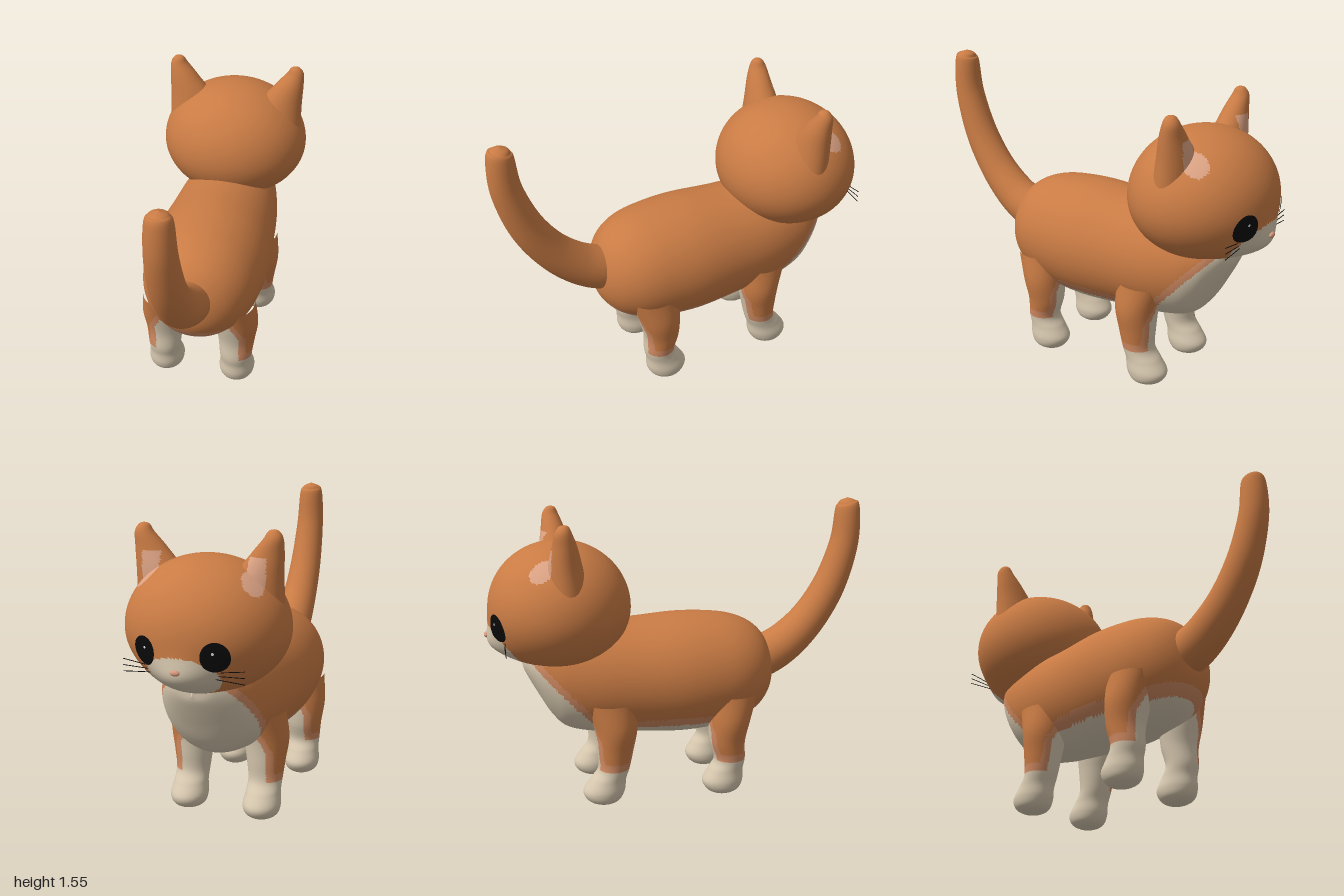
import * as THREE from 'three';
import { mergeVertices } from 'three/addons/utils/BufferGeometryUtils.js';

const mat = (name, color) => {
  const m = new THREE.MeshStandardMaterial({ color });
  m.name = name;
  return m;
};
const orange = mat('orange fur', 0xc97b44);
const cream = mat('cream fur', 0xd6c7ae);
const blend = mat('peach fur edge', 0xd08a62);
const pale = mat('pale inner ear', 0xdba283);
const black = mat('black', 0x0a0a0a);
const white = mat('white', 0xf4f4f4);
const pink = mat('pink nose', 0xd99a80);
const FUR = [orange, cream, blend, pale];
const ORANGE = 0, CREAM = 1, BLEND = 2, PALE = 3;

const X = new THREE.Vector3(1, 0, 0);

// Smooth skin over elliptical rings; each row is [x, y, z, halfWidth, halfDepth].
// The rings lie along X and V (V is found from the path when not given).
function loft(rows, V, steps = 80, sides = 64) {
  const curve = (f) => new THREE.CatmullRomCurve3(rows.map(f), false, 'catmullrom', 0.5);
  const path = curve((r) => new THREE.Vector3(r[0], r[1], r[2]));
  const size = curve((r) => new THREE.Vector3(r[3], r[4], 0));
  const pos = [], index = [];
  for (let i = 0; i <= steps; i++) {
    const t = i / steps;
    const c = path.getPoint(t), s = size.getPoint(t);
    const v = V || path.getTangent(t).cross(X).normalize();
    for (let j = 0; j < sides; j++) {
      const a = (j / sides) * Math.PI * 2;
      const p = c.clone()
        .addScaledVector(X, Math.max(s.x, 0.0005) * Math.cos(a))
        .addScaledVector(v, Math.max(s.y, 0.0005) * Math.sin(a));
      pos.push(p.x, p.y, p.z);
      if (i < steps) {
        const k = (j + 1) % sides, A = i * sides, B = A + sides;
        index.push(A + j, A + k, B + j, A + k, B + k, B + j);
      }
    }
  }
  const g = new THREE.BufferGeometry();
  g.setAttribute('position', new THREE.Float32BufferAttribute(pos, 3));
  g.setIndex(index);
  g.computeVertexNormals();
  return g;
}

// Sorts triangles into fur colours by the position of their centre.
function paint(g, rule) {
  const buckets = FUR.map(() => []);
  const idx = g.index.array, p = g.attributes.position;
  for (let i = 0; i < idx.length; i += 3) {
    const t = [idx[i], idx[i + 1], idx[i + 2]];
    const mean = (get) => t.reduce((s, k) => s + p[get](k), 0) / 3;
    buckets[rule(Math.abs(mean('getX')), mean('getY'), mean('getZ'))].push(...t);
  }
  g.setIndex(buckets.flat());
  let start = 0;
  buckets.forEach((b, m) => {
    if (b.length) g.addGroup(start, b.length, m);
    start += b.length;
  });
  return g;
}

// Head: an ellipsoid with a muzzle bulge at its front (-z).
const HEAD = { y: 1.035, z: -0.62, rx: 0.4, up: 0.34, down: 0.31, rz: 0.365 };
const bulge = (x, y, c) =>
  0.07 * Math.exp(-((x / 0.16) ** 2) - ((y - 0.84) / 0.1) ** 2) * Math.min(1, c * 2);
function faceZ(x, y) {
  const dy = y - HEAD.y, ry = dy > 0 ? HEAD.up : HEAD.down;
  const c = Math.sqrt(Math.max(0, 1 - (x / HEAD.rx) ** 2 - (dy / ry) ** 2));
  return HEAD.z - HEAD.rz * c - bulge(x, y, c);
}
function headGeometry() {
  let g = new THREE.SphereGeometry(1, 128, 96);
  g.deleteAttribute('uv');
  g.deleteAttribute('normal');
  g = mergeVertices(g);
  const p = g.attributes.position;
  for (let i = 0; i < p.count; i++) {
    const sy = p.getY(i), sz = p.getZ(i);
    const x = p.getX(i) * HEAD.rx;
    const y = HEAD.y + sy * (sy > 0 ? HEAD.up : HEAD.down);
    const z = HEAD.z + sz * HEAD.rz - (sz < 0 ? bulge(x, y, -sz) : 0);
    p.setXYZ(i, x, y, z);
  }
  g.computeVertexNormals();
  return g;
}

// Thin oval that hugs the face.
function faceOval(cx, cy, rx, ry, lift) {
  const g = new THREE.RingGeometry(0, 1, 32, 6);
  const p = g.attributes.position;
  for (let i = 0; i < p.count; i++) {
    const x = cx - rx * p.getX(i), y = cy + ry * p.getY(i);
    p.setXYZ(i, x, y, faceZ(x, y) - lift);
  }
  g.computeVertexNormals();
  return g;
}

export function createModel() {
  const cat = new THREE.Group();
  cat.name = 'cat';
  const add = (name, geometry, material) => {
    const m = new THREE.Mesh(geometry, material);
    m.name = name;
    cat.add(m);
    return m;
  };

  // Torso from chest to rump: z, top, bottom, half width
  const torso = [
    [-0.825, 0.8, 0.74, 0], [-0.81, 0.84, 0.695, 0.1], [-0.75, 0.9, 0.58, 0.18],
    [-0.68, 0.93, 0.46, 0.225], [-0.6, 0.95, 0.385, 0.255], [-0.45, 0.95, 0.35, 0.285],
    [-0.25, 0.95, 0.335, 0.305], [0, 0.965, 0.32, 0.325], [0.2, 0.955, 0.335, 0.312],
    [0.32, 0.93, 0.365, 0.285], [0.41, 0.885, 0.41, 0.235], [0.47, 0.82, 0.47, 0.17],
    [0.505, 0.73, 0.54, 0.09], [0.515, 0.63, 0.63, 0],
  ].map(([z, t, b, w]) => [0, (t + b) / 2, z, w, (t - b) / 2]);
  add('torso', paint(loft(torso, new THREE.Vector3(0, 1, 0), 130, 96), (x, y, z) => {
    const edge = 0.41 + Math.max(0, -0.45 - z) * 1.1 + Math.max(0, z - 0.3) * 0.25;
    return y < edge ? CREAM : y < edge + 0.05 ? BLEND : ORANGE;
  }), FUR);

  // Legs: y, half width, half depth, then z of the front and back leg
  const legRows = [
    [0.56, 0.1, 0.13, -0.39, 0.26], [0.42, 0.115, 0.112, -0.37, 0.24],
    [0.3, 0.1, 0.095, -0.375, 0.23], [0.2, 0.088, 0.083, -0.385, 0.243],
    [0.14, 0.088, 0.094, -0.415, 0.222], [0.08, 0.096, 0.11, -0.438, 0.205],
    [0.035, 0.085, 0.092, -0.44, 0.205], [0.01, 0.05, 0.055, -0.435, 0.203],
    [0, 0, 0, -0.435, 0.202],
  ];
  const legColour = (x, y) => {
    const edge = 0.265 - Math.max(0, y - 0.36) * 0.5;
    if (y > 0.24 && x > edge) return ORANGE;
    return y > 0.2 && x > edge - 0.035 ? BLEND : CREAM;
  };
  for (const [side, s] of [['left', 1], ['right', -1]]) {
    for (const [end, k] of [['Front', 3], ['Back', 4]]) {
      const rows = legRows.map((r) => [s * 0.2, r[0], r[k], r[1], r[2]]);
      add(side + end + 'Leg', paint(loft(rows, new THREE.Vector3(0, 0, 1)), legColour), FUR);
    }

    // Ears, tip to base
    const ear = [
      [0.325, 1.505, -0.62, 0, 0], [0.324, 1.495, -0.62, 0.026, 0.024],
      [0.322, 1.46, -0.622, 0.047, 0.043], [0.293, 1.39, -0.615, 0.078, 0.062],
      [0.25, 1.28, -0.61, 0.118, 0.085], [0.23, 1.15, -0.6, 0.14, 0.1],
    ].map(([x, ...r]) => [s * x, ...r]);
    add(side + 'Ear', paint(loft(ear, new THREE.Vector3(0, 0, 1), 50, 48), (x, y, z) =>
      z < -0.64 && y < 1.38 && Math.abs(x - 0.265) < 0.045 ? PALE : ORANGE), FUR);

    // Eye with a small glint
    add(side + 'Eye', faceOval(s * 0.172, 0.98, 0.062, 0.07, 0.006), black);
    add(side + 'EyeGlint', faceOval(s * 0.165, 0.998, 0.006, 0.007, 0.009), white);

    // Whiskers
    for (let i = -1; i <= 1; i++) {
      const a = new THREE.Vector3(s * 0.16, 0.885 + i * 0.015, faceZ(0.16, 0.885) + 0.01);
      const b = new THREE.Vector3(s * 0.3, 0.89 + i * 0.03, -0.915);
      add(side + 'Whisker', new THREE.TubeGeometry(new THREE.LineCurve3(a, b), 1, 0.002, 5), black);
    }
  }

  // Head with cream muzzle and pale ear fronts
  add('head', paint(headGeometry(), (x, y, z) => {
    if (z < -0.7 && (x / 0.18) ** 2 + ((y - 0.865) / 0.105) ** 2 < 1) return CREAM;
    if (z < -0.68 && y < 0.77 && x < 0.15) return BLEND;
    if (y > 1.15 && ((x - 0.26) / 0.05) ** 2 + ((z + 0.715) / 0.07) ** 2 < 1) return PALE;
    return ORANGE;
  }), FUR);

  // Nose
  const nose = add('nose', new THREE.SphereGeometry(1, 20, 14), pink);
  nose.scale.set(0.024, 0.014, 0.012);
  nose.position.set(0, 0.905, faceZ(0, 0.905) - 0.001);

  // Tail: y, z, radius
  const tail = [
    [0.67, 0.38, 0.1], [0.695, 0.48, 0.115], [0.77, 0.61, 0.108], [0.9, 0.74, 0.097],
    [1.08, 0.85, 0.088], [1.3, 0.922, 0.077], [1.48, 0.935, 0.066],
    [1.525, 0.933, 0.045], [1.545, 0.932, 0],
  ].map(([y, z, r]) => [0, y, z, r, r]);
  add('tail', loft(tail, null, 80, 40), orange);

  return cat;
}
